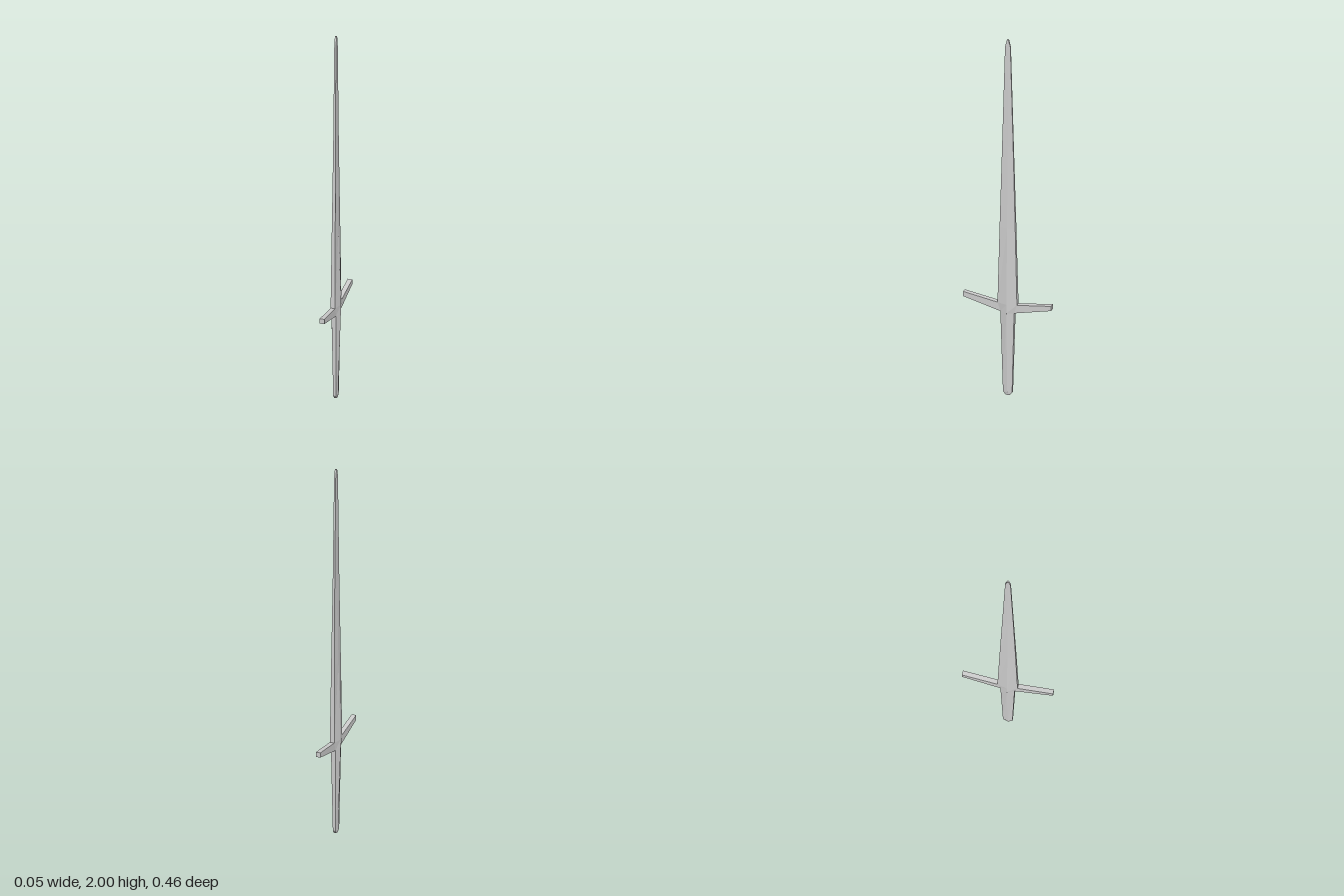
import * as THREE from 'three';

const material = new THREE.MeshStandardMaterial({ color: 0xcccccc, flatShading: true });

// Loft through six-sided sections [y, ridge half x, edge half x, edge half z]
function loft(name, sections, capBottom, capTop) {
  const rings = sections.map(([y, r, e, b]) =>
    [[r, 0], [e, -b], [-e, -b], [-r, 0], [-e, b], [e, b]].map(([x, z]) => [x, y, z]));
  const pos = [];
  const tri = (a, b, c) => pos.push(...a, ...b, ...c);
  for (let s = 0; s < rings.length - 1; s++) {
    const lo = rings[s], hi = rings[s + 1];
    for (let i = 0; i < 6; i++) {
      const j = (i + 1) % 6;
      tri(lo[i], lo[j], hi[j]);
      tri(lo[i], hi[j], hi[i]);
    }
  }
  const first = rings[0], last = rings[rings.length - 1];
  for (let i = 1; i < 5; i++) {
    if (capBottom) tri(first[0], first[i + 1], first[i]);
    if (capTop) tri(last[0], last[i], last[i + 1]);
  }
  const geo = new THREE.BufferGeometry();
  geo.setAttribute('position', new THREE.Float32BufferAttribute(pos, 3));
  geo.computeVertexNormals();
  const mesh = new THREE.Mesh(geo, material);
  mesh.name = name;
  return mesh;
}

// One tapering crossguard arm, pointing to side * z
function guardArm(name, side) {
  const outline = [[0.036, 0.468], [0.231, 0.517], [0.231, 0.543], [0.051, 0.516]];
  const shape = new THREE.Shape(outline.map(([z, y]) => new THREE.Vector2(z, y)));
  const geo = new THREE.ExtrudeGeometry(shape, { depth: 0.024, bevelEnabled: false });
  geo.translate(0, 0, -0.012);
  geo.rotateY(-side * Math.PI / 2);
  const mesh = new THREE.Mesh(geo, material);
  mesh.name = name;
  return mesh;
}

export function createModel() {
  const group = new THREE.Group();
  group.name = 'sword';

  // Grip with a small chamfered end, widening into the guard
  group.add(loft('grip', [
    [0, 0.009, 0.005, 0.012],
    [0.016, 0.011, 0.007, 0.024],
    [0.468, 0.025, 0.012, 0.036],
    [0.516, 0.025, 0.012, 0.051],
  ], true, false));

  // Long ridged blade, thinning to a blunt point
  group.add(loft('blade', [
    [0.516, 0.025, 0.012, 0.051],
    [0.94, 0.013, 0.009, 0.041],
    [1.4, 0.0065, 0.0055, 0.029],
    [1.96, 0.005, 0.0045, 0.014],
    [2, 0.005, 0.0045, 0.004],
  ], false, true));

  // Crossguard
  const guard = new THREE.Group();
  guard.name = 'crossguard';
  guard.add(guardArm('frontGuardArm', 1), guardArm('backGuardArm', -1));
  group.add(guard);

  return group;
}
